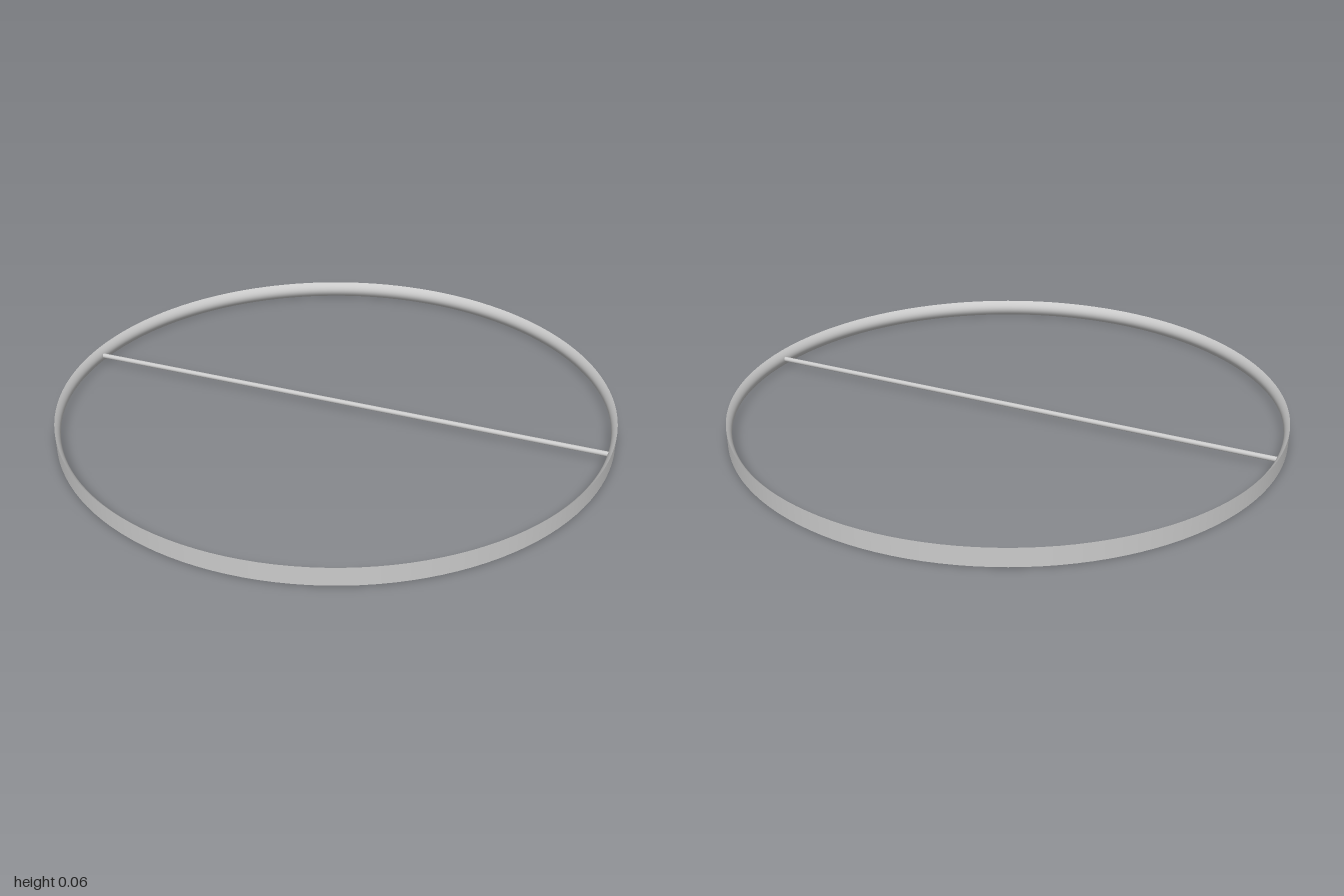
import * as THREE from 'three';

export function createModel() {
  const group = new THREE.Group();
  const material = new THREE.MeshStandardMaterial({ color: 0xcccccc });
  const height = 0.065, outer = 1, bulge = 0.018, segments = 128;

  // Straight outer wall of the band
  const wall = new THREE.Mesh(
    new THREE.CylinderGeometry(outer, outer, height, segments, 1, true), material);
  wall.name = 'bandOuterWall';
  wall.position.y = height / 2;
  group.add(wall);

  // Rounded inner face, bulging towards the centre from rim to rim
  const profile = [];
  const steps = 12;
  for (let i = 0; i <= steps; i++) {
    const t = 1 - (2 * i) / steps;
    profile.push(new THREE.Vector2(outer - bulge * (1 - t * t), (height / 2) * (1 + t)));
  }
  const inner = new THREE.Mesh(new THREE.LatheGeometry(profile, segments), material);
  inner.name = 'bandInnerFace';
  group.add(inner);

  // Thin rod spanning the band
  const rod = new THREE.Mesh(new THREE.CylinderGeometry(0.009, 0.009, 1.97, 16), material);
  rod.name = 'crossRod';
  rod.rotation.z = Math.PI / 2;
  rod.position.set(0, height / 2, -0.003);
  group.add(rod);

  return group;
}
